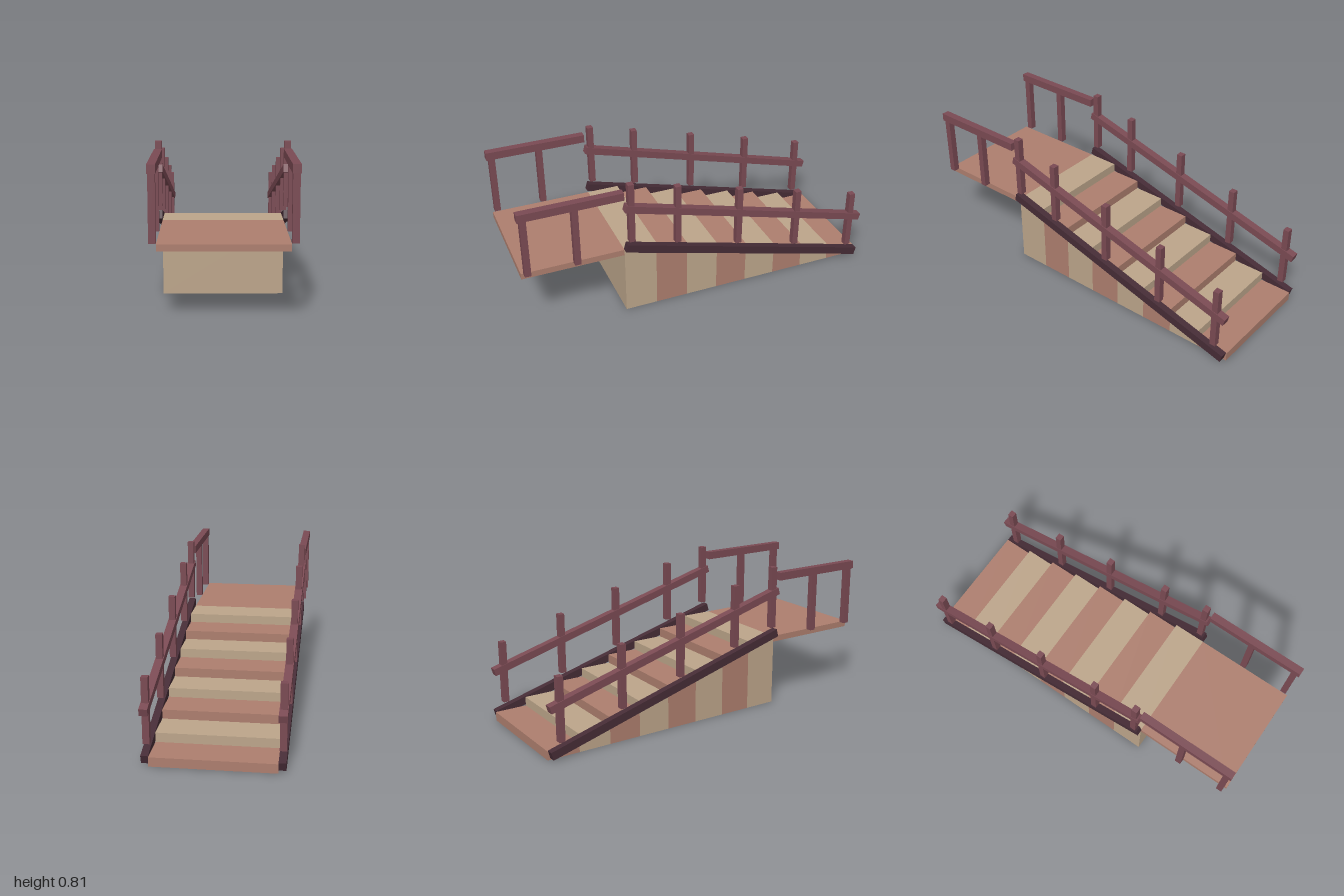
import * as THREE from 'three';

const tan = new THREE.MeshStandardMaterial({ name: 'tanWood', color: 0xbca58a });
const rose = new THREE.MeshStandardMaterial({ name: 'roseWood', color: 0xad7e6e });
const plum = new THREE.MeshStandardMaterial({ name: 'railWood', color: 0x7a4a53 });
const dark = new THREE.MeshStandardMaterial({ name: 'darkWood', color: 0x462c36 });

export function createModel() {
  const model = new THREE.Group();
  model.name = 'staircase';

  // Box given by its centre and size
  const box = (name, mat, [x, y, z], [w, h, d], tilt = 0) => {
    const mesh = new THREE.Mesh(new THREE.BoxGeometry(w, h, d), mat);
    mesh.name = name;
    mesh.position.set(x, y, z);
    mesh.rotation.x = tilt;
    model.add(mesh);
  };

  // Eight solid steps in alternating colours, rising towards the front
  const steps = 8, run = 0.18, rise = 0.05, width = 0.632;
  for (let i = 0; i < steps; i++) {
    const h = rise * (i + 1) - 0.001;
    box('step', i % 2 ? tan : rose, [0, h / 2, -1 + run * (i + 0.5)], [width, h, run]);
  }

  // Landing
  box('landing', rose, [0, 0.382, 0.72], [width, 0.034, 0.56]);

  const slope = Math.atan2(0.4, 1.44);
  const length = 1.483;
  for (const side of [-1, 1]) {
    const x = side * 0.335;
    // Sloping stringer and handrail
    box('stringer', dark, [x, 0.23, -0.277], [0.038, 0.045, length], -slope);
    box('stairRail', plum, [x, 0.474, -0.277], [0.043, 0.04, length], -slope);
    // Stair posts
    for (const [z, top] of [[0.405, 0.81], [0.145, 0.74], [-0.215, 0.64], [-0.575, 0.54], [-0.932, 0.44]])
      box('stairPost', plum, [x, top - 0.173, z], [0.035, 0.346, 0.033]);
    // Landing rail and posts
    box('landingRail', plum, [x, 0.752, 0.722], [0.041, 0.044, 0.556]);
    for (const z of [0.97, 0.705])
      box('landingPost', plum, [x, 0.567, z], [0.035, 0.336, 0.034]);
  }
  return model;
}
